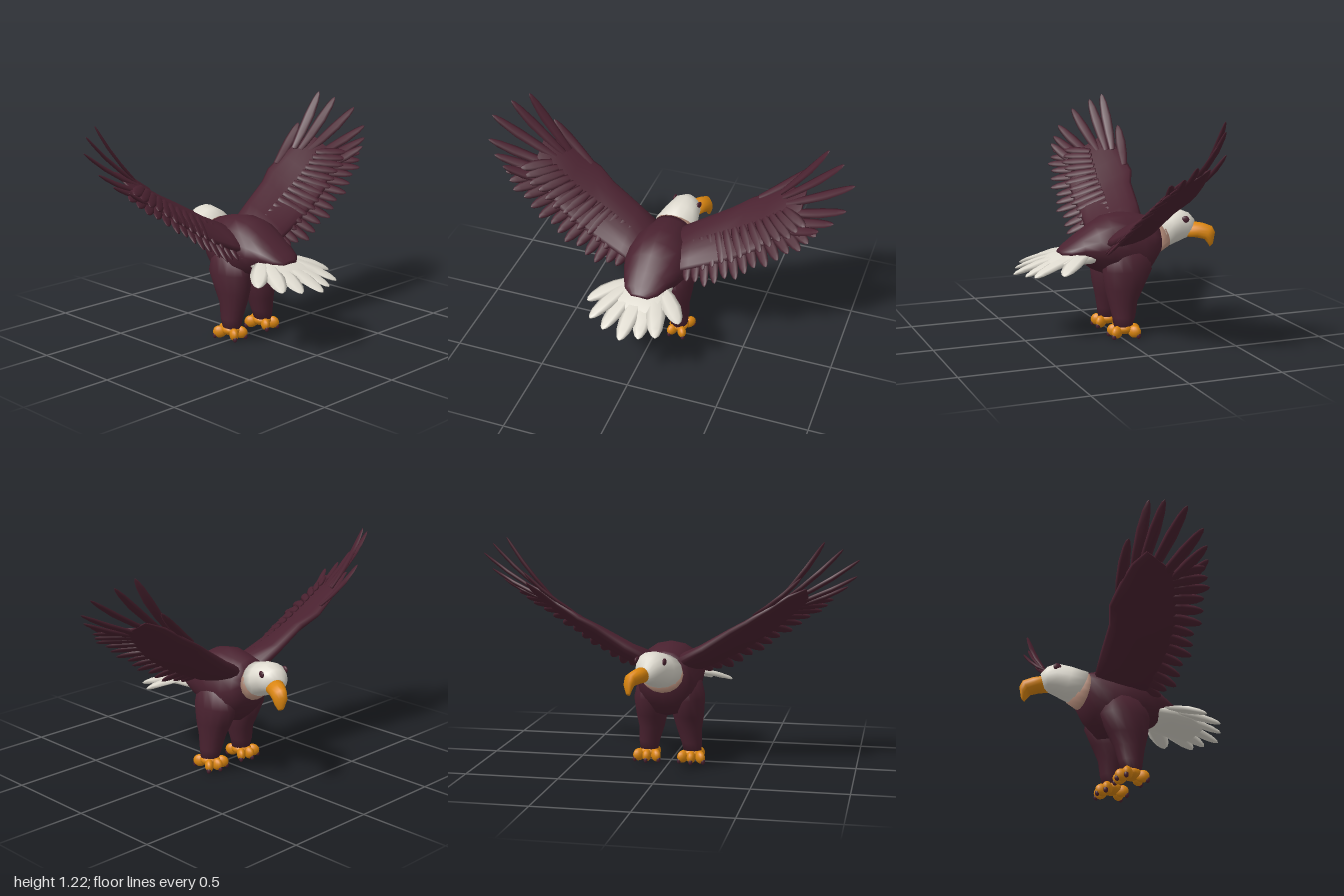
import * as THREE from 'three';
import { mergeGeometries } from 'three/addons/utils/BufferGeometryUtils.js';

const V = (x, y, z) => new THREE.Vector3(x, y, z);
const mat = (name, color) => {
  const m = new THREE.MeshStandardMaterial({ color });
  m.name = name;
  return m;
};

// Skin over elliptical rings [centre, axisA, axisB]; winding is set so faces look outward
function loft(rings, sides = 16) {
  const pos = [], idx = [], n = rings.length;
  for (const [c, a, b] of rings) {
    for (let i = 0; i < sides; i++) {
      const t = (i / sides) * Math.PI * 2;
      const p = c.clone().addScaledVector(a, Math.cos(t)).addScaledVector(b, Math.sin(t));
      pos.push(p.x, p.y, p.z);
    }
  }
  for (const r of [rings[0], rings[n - 1]]) pos.push(r[0].x, r[0].y, r[0].z);
  const first = n * sides, last = first + 1;
  for (let i = 0; i < sides; i++) {
    const j = (i + 1) % sides;
    for (let k = 0; k < n - 1; k++) {
      const a = k * sides + i, b = k * sides + j;
      idx.push(a, b, a + sides, b, b + sides, a + sides);
    }
    idx.push(first, j, i, last, (n - 1) * sides + i, (n - 1) * sides + j);
  }
  const at = (i) => V(pos[i * 3], pos[i * 3 + 1], pos[i * 3 + 2]);
  const o = rings[0][0];
  let volume = 0;
  for (let i = 0; i < idx.length; i += 3) {
    const [p, q, r] = [at(idx[i]).sub(o), at(idx[i + 1]).sub(o), at(idx[i + 2]).sub(o)];
    volume += p.dot(q.cross(r));
  }
  if (volume < 0) idx.reverse();
  const g = new THREE.BufferGeometry();
  g.setAttribute('position', new THREE.Float32BufferAttribute(pos, 3));
  g.setIndex(idx);
  g.computeVertexNormals();
  return g;
}

// Rings from rows [x, zTop, yTop, zBottom, yBottom, halfWidth, yaw]
const trunk = (rows, s = 1) => loft(rows.map(([x, zt, yt, zb, yb, w, yaw = 0]) => [
  V(x * s, (yt + yb) / 2, (zt + zb) / 2),
  V(0, (yt - yb) / 2, (zt - zb) / 2),
  V(w * Math.cos(yaw), 0, w * Math.sin(yaw)),
]));

// One slim feather
function feather(base, tip, width, normal, thick = 0.007, bend = 0) {
  const dir = tip.clone().sub(base).normalize();
  const side = dir.clone().cross(normal).normalize();
  const up = side.clone().cross(dir);
  const shape = [[0, 0.6], [0.3, 0.9], [0.6, 1], [0.85, 0.72], [0.96, 0.4], [1, 0.08]];
  return loft(shape.map(([t, w]) => [
    base.clone().lerp(tip, t).addScaledVector(up, bend * Math.sin(Math.PI * t)),
    side.clone().multiplyScalar(width * w),
    up.clone().multiplyScalar(thick * Math.min(1, w + 0.1)),
  ]), 6);
}

export function createModel() {
  const model = new THREE.Group();
  const plumage = mat('dark plumage', 0x4a2230);
  const white = mat('white plumage', 0xdedacf);
  const orange = mat('orange', 0xdb860f);
  const tan = mat('tan collar', 0xbe9481);
  const add = (name, geo, m, parent = model) => {
    const mesh = new THREE.Mesh(geo, m);
    mesh.name = name;
    parent.add(mesh);
    return mesh;
  };
  const blob = (name, m, p, scale, parent, turn = 0) => {
    const mesh = add(name, new THREE.SphereGeometry(1, 14, 10), m, parent);
    mesh.position.set(...p);
    mesh.scale.set(...scale);
    mesh.rotation.y = turn;
  };

  // Torso, collar, head and beak; the head looks slightly to one side
  add('body', trunk([
    [0, -0.235, 0.625, -0.255, 0.425, 0.112], [0, -0.19, 0.64, -0.2, 0.345, 0.14],
    [0, -0.13, 0.657, -0.13, 0.28, 0.16], [0, -0.04, 0.67, -0.04, 0.3, 0.175],
    [0, 0.05, 0.655, 0.05, 0.335, 0.175], [0, 0.12, 0.615, 0.12, 0.365, 0.155],
    [0, 0.2, 0.56, 0.2, 0.42, 0.125], [0, 0.27, 0.51, 0.26, 0.44, 0.095], [0, 0.305, 0.485, 0.3, 0.45, 0.05],
  ]), plumage);
  add('collar', trunk([
    [0, -0.225, 0.62, -0.25, 0.424, 0.113], [0.01, -0.245, 0.63, -0.31, 0.463, 0.113],
  ]), tan);
  add('head', trunk([
    [0.005, -0.235, 0.633, -0.3, 0.46, 0.115], [0.02, -0.31, 0.656, -0.35, 0.48, 0.104, 0.15],
    [0.03, -0.38, 0.666, -0.39, 0.495, 0.09, 0.3], [0.045, -0.43, 0.645, -0.42, 0.51, 0.07, 0.4],
    [0.058, -0.46, 0.605, -0.435, 0.52, 0.048, 0.5],
  ]), white);
  add('beak', trunk([
    [0.055, -0.44, 0.6, -0.41, 0.515, 0.046, 0.5], [0.085, -0.495, 0.592, -0.46, 0.512, 0.042, 0.5],
    [0.11, -0.54, 0.575, -0.495, 0.505, 0.036, 0.5], [0.117, -0.556, 0.54, -0.51, 0.485, 0.03, 0.5],
    [0.117, -0.545, 0.48, -0.525, 0.463, 0.014, 0.5],
  ]), orange);
  blob('rightEye', plumage, [0.104, 0.62, -0.383], [0.009, 0.019, 0.022], model, -0.35);
  blob('leftEye', plumage, [-0.044, 0.62, -0.408], [0.009, 0.019, 0.022], model, -0.1);

  // Tail: root and fan of feathers
  add('tailRoot', trunk([
    [0, 0.14, 0.485, 0.15, 0.405, 0.135], [0, 0.24, 0.483, 0.24, 0.405, 0.145],
    [0, 0.33, 0.455, 0.33, 0.4, 0.15], [0, 0.42, 0.415, 0.42, 0.385, 0.12],
  ]), white);
  const tailTips = [[-0.28, 0.4, 0.345], [-0.22, 0.385, 0.46], [-0.13, 0.375, 0.51], [-0.02, 0.367, 0.553],
    [0.07, 0.37, 0.515], [0.155, 0.38, 0.49], [0.24, 0.395, 0.36]];
  add('tailFeathers', mergeGeometries(tailTips.map(([x, y, z], i) =>
    feather(V(x * 0.35, 0.465, 0.19), V(x, y, z), 0.052, V(x * 1.2, 1, 0.3), 0.014 + 0.002 * (i % 2), 0.01))), white);

  for (const s of [1, -1]) {
    const sideName = s > 0 ? 'right' : 'left';
    const P = (x, y, z) => V(x * s, y, z);

    // Leg and foot
    add(sideName + 'Leg', trunk([
      [0.095, -0.17, 0.47, 0.08, 0.47, 0.075], [0.1, -0.185, 0.37, 0.095, 0.37, 0.091],
      [0.1, -0.135, 0.27, 0.08, 0.27, 0.084], [0.103, -0.1, 0.2, 0.062, 0.2, 0.07],
      [0.116, -0.083, 0.12, 0.045, 0.12, 0.057], [0.12, -0.062, 0.06, 0.035, 0.06, 0.048],
    ], s), plumage);
    const foot = new THREE.Group();
    foot.name = sideName + 'Foot';
    model.add(foot);
    blob('footPad', orange, [0.12 * s, 0.056, -0.018], [0.056, 0.034, 0.058], foot);
    for (const [x, z, turn] of [[0.075, -0.062, 0.65], [0.122, -0.073, 0], [0.168, -0.06, -0.7], [0.095, 0.03, -0.5], [0.15, 0.032, 0.5]]) {
      blob('toe', orange, [x * s, 0.042, z], [0.024, 0.034, 0.037], foot, turn * s);
      const out = V(x - 0.12, 0, z + 0.018).setLength(0.026);
      blob('claw', plumage, [(x + out.x) * s, 0.022, z + out.z], [0.011, 0.017, 0.013], foot);
    }

    // Wing arm: slanted sections from shoulder to wrist
    const wing = new THREE.Group();
    wing.name = sideName + 'Wing';
    model.add(wing);
    const N = P(-0.46, 0.76, 0.38).normalize();
    const stations = [[0.07, -0.21, 0.58, 0.11, 0.5, 0.06], [0.2, -0.232, 0.665, 0.08, 0.54, 0.045],
      [0.35, -0.25, 0.765, 0.06, 0.605, 0.037], [0.44, -0.292, 0.82, 0.06, 0.66, 0.032],
      [0.55, -0.285, 0.89, 0.05, 0.735, 0.025], [0.65, -0.265, 0.955, 0.0, 0.82, 0.016], [0.74, -0.225, 0.99, -0.06, 0.9, 0.006]];
    add('wingArm', loft(stations.map(([x, zl, yl, zt, yt, t]) => [
      P(x, (yl + yt) / 2, (zl + zt) / 2), P(0, (yl - yt) / 2, (zl - zt) / 2), N.clone().multiplyScalar(t),
    ])), plumage, wing);

    // Trailing feathers and a shorter covering row
    const roots = new THREE.CatmullRomCurve3([P(0.1, 0.57, -0.05), P(0.3, 0.68, -0.08), P(0.5, 0.79, -0.1), P(0.66, 0.9, -0.12)]);
    const tips = new THREE.CatmullRomCurve3([P(0.15, 0.475, 0.11), P(0.3, 0.5, 0.15), P(0.46, 0.59, 0.155),
      P(0.6, 0.69, 0.14), P(0.76, 0.805, 0.11), P(0.875, 0.9, 0.055)]);
    const trailing = [], coverts = [];
    for (let i = 0; i < 15; i++) {
      const t = i / 14, root = roots.getPoint(t), tip = tips.getPoint(t);
      tip.lerp(root, (i % 3) * 0.04);
      trailing.push(feather(root, tip, 0.034, N, 0.008 + 0.002 * (i % 2)));
      const high = root.clone().addScaledVector(N, 0.018);
      coverts.push(feather(high, root.clone().lerp(tip, 0.68).addScaledVector(N, 0.012), 0.03, N, 0.009));
    }
    add('trailingFeathers', mergeGeometries(trailing), plumage, wing);
    add('coverts', mergeGeometries(coverts), plumage, wing);

    // Long spread feathers at the wing tip
    const fingers = [[0.72, 1.05, -0.315, 0.48, 0.85, -0.26], [0.83, 1.228, -0.255, 0.6, 0.925, -0.235],
      [0.92, 1.19, -0.212, 0.62, 0.92, -0.205], [1, 1.13, -0.13, 0.64, 0.91, -0.165],
      [0.985, 1.035, -0.035, 0.64, 0.885, -0.12], [0.935, 0.975, 0.01, 0.63, 0.865, -0.08], [0.87, 0.94, 0.05, 0.61, 0.83, -0.05]];
    add('tipFeathers', mergeGeometries(fingers.map(([x, y, z, bx, by, bz]) =>
      feather(P(bx, by, bz), P(x, y, z), 0.03, N, 0.009, -0.012))), plumage, wing);
  }
  return model;
}
